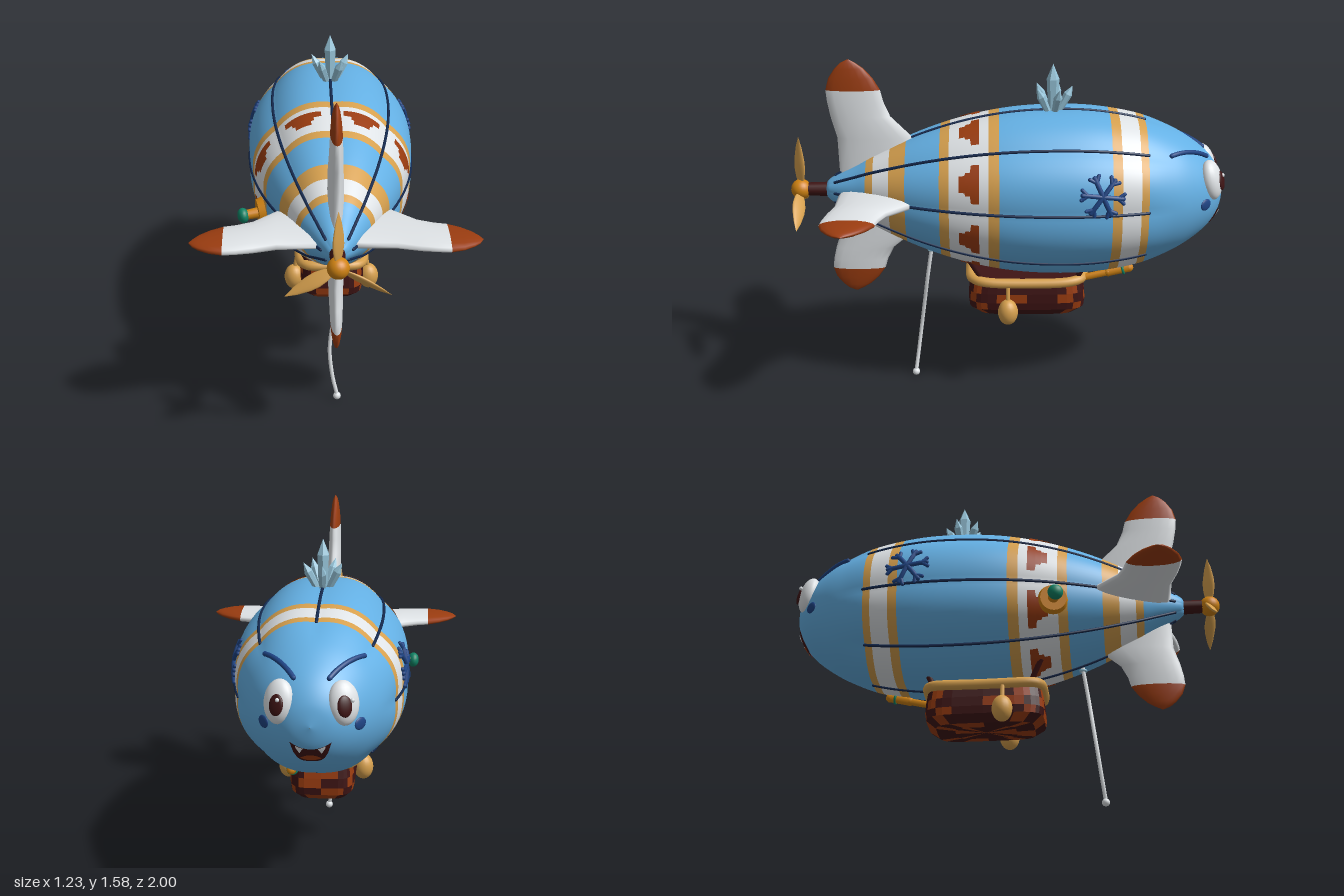
import * as THREE from 'three';
import { mergeGeometries } from 'three/addons/utils/BufferGeometryUtils.js';

const V = (x, y, z) => new THREE.Vector3(x, y, z);
const material = (name, color, side = THREE.FrontSide) =>
  Object.assign(new THREE.MeshStandardMaterial({ color, side }), { name });
const CY = 0.96; // height of the hull axis

// Hull profile: [z, radius] from tail to nose
const profile = new THREE.SplineCurve([
  [0.845, 0.001], [0.83, 0.035], [0.8, 0.06], [0.7, 0.118], [0.6, 0.175], [0.4, 0.265], [0.2, 0.33],
  [0, 0.37], [-0.2, 0.385], [-0.4, 0.379], [-0.6, 0.345], [-0.75, 0.292], [-0.85, 0.235],
  [-0.93, 0.168], [-0.98, 0.09], [-1, 0.001],
].map(([z, r]) => new THREE.Vector2(z, r))).getPoints(120);

function radius(z) {
  for (let i = 1; i < profile.length; i++) {
    const a = profile[i - 1], b = profile[i];
    if (z <= a.x && z >= b.x) return a.y + (b.y - a.y) * (a.x - z) / (a.x - b.x || 1);
  }
  return 0.001;
}
function noseZ(r) {
  for (let i = profile.length - 1; i > 0; i--) {
    const a = profile[i], b = profile[i - 1];
    if (r >= a.y && r <= b.y) return a.x + (b.x - a.x) * (r - a.y) / (b.y - a.y || 1);
  }
  return -1;
}
// Point on the eight-lobed hull; the lobes fade out toward the face
function hullPoint(a, z, off = 0) {
  const fade = THREE.MathUtils.smoothstep(z, -0.82, -0.6);
  const r = radius(z) * (1 + fade * (-0.015 + 0.035 * Math.abs(Math.sin(4 * a)))) + off;
  return V(r * Math.cos(a), CY + r * Math.sin(a), z);
}

// Skin over rows of points; pick(row, column) chooses the material index of a cell
function loft(rows, closed = true, pick = () => 0) {
  const n = rows[0].length, lists = [];
  for (let i = 0; i < rows.length - 1; i++)
    for (let j = 0; j < (closed ? n : n - 1); j++) {
      const k = (j + 1) % n, a = i * n + j, b = a + n, c = i * n + k, d = c + n;
      (lists[pick(i, j)] ??= []).push(a, b, c, b, d, c);
    }
  const g = new THREE.BufferGeometry().setFromPoints(rows.flat());
  g.setIndex(lists.flat());
  let start = 0;
  lists.forEach((l, m) => { g.addGroup(start, l.length, m); start += l.length; });
  g.computeVertexNormals();
  return g;
}

// Round cord through points, with rounded ends
function cord(points, r, segments = 24) {
  const ends = [points[0], points.at(-1)].map(p => new THREE.SphereGeometry(r, 8, 6).translate(p.x, p.y, p.z));
  return mergeGeometries([new THREE.TubeGeometry(new THREE.CatmullRomCurve3(points), segments, r, 8), ...ends]);
}
const range = (n, f) => Array.from({ length: n }, (_, i) => f(i));

export function createModel() {
  const blue = material('sky blue', 0x64b0e4), white = material('off white', 0xdfe3e6, THREE.DoubleSide);
  const tan = material('tan', 0xd6a04e), rust = material('rust', 0x9a3c10, THREE.DoubleSide);
  const brown = material('dark brown', 0x3e1414, THREE.DoubleSide), orange = material('orange', 0xd08312);
  const teal = material('teal', 0x0f8264), navy = material('navy', 0x14294e);
  const royal = material('royal blue', 0x1f4484), ice = material('ice', 0x97c5da);
  const root = new THREE.Group();
  root.name = 'airship';
  const add = (name, geo, mat, pos, parent = root) => {
    const m = new THREE.Mesh(geo, mat);
    m.name = name;
    if (pos) m.position.copy(pos);
    parent.add(m);
    return m;
  };

  // Hull with painted bands: [start z, end z, material index]
  const bands = [[0.645, 0.61, 1], [0.61, 0.535, 2], [0.535, 0.46, 1], [0.303, 0.26, 1], [0.26, 0.083, 2],
    [0.083, 0.035, 1], [-0.467, -0.51, 1], [-0.51, -0.595, 2], [-0.595, -0.63, 1]];
  const zs = [...new Set([...profile.map(p => p.x), ...bands.flatMap(b => [b[0], b[1]])])].sort((a, b) => b - a);
  add('hull', loft(zs.map(z => range(96, j => hullPoint(j / 96 * Math.PI * 2, z))), true, i => {
    const m = (zs[i] + zs[i + 1]) / 2;
    return bands.find(b => m < b[0] && m > b[1])?.[2] ?? 0;
  }), [blue, tan, white]);

  // Seams and the stepped patches between them
  const steps = [[0.215, 0.11], [0.19, 0.11], [0.185, 0.15], [0.165, 0.15], [0.16, 0.25], [0.125, 0.25]];
  for (let k = 0; k < 8; k++) {
    const a = k * Math.PI / 4;
    add('seam', cord(range(30, i => hullPoint(a, 0.79 - i / 29 * 1.42, 0.002)), 0.007, 60), navy);
    add('bandPatch', loft(steps.map(([z, w]) =>
      range(13, j => hullPoint(a + Math.PI / 8 + w * (j / 6 - 1), z, 0.005))), false), rust);
  }

  // Tail fins: [distance from axis, leading z, trailing z, half thickness]
  const sections = [[0.08, 0.36, 0.77, 0.036], [0.25, 0.43, 0.775, 0.034], [0.35, 0.53, 0.802, 0.031],
    [0.42, 0.56, 0.815, 0.028], [0.475, 0.573, 0.82, 0.026], [0.53, 0.605, 0.805, 0.022],
    [0.575, 0.645, 0.775, 0.016], [0.6, 0.68, 0.75, 0.01], [0.617, 0.71, 0.716, 0.001]];
  const finGeo = loft(sections.map(([s, l, t, w]) => range(16, j => {
    const a = j / 8 * Math.PI;
    return V(w * Math.cos(a), s, (l + t) / 2 + (t - l) / 2 * Math.sin(a));
  })), true, i => (i < 4 ? 0 : 1));
  for (let k = 0; k < 4; k++) {
    const fin = add('tailFin', finGeo, [white, rust], V(0, CY, 0));
    fin.rotation.z = k * Math.PI / 2;
    if (k === 2) fin.scale.y = 0.83;
  }

  // Propeller
  add('propellerShaft', new THREE.CylinderGeometry(0.03, 0.034, 0.13, 16).rotateX(Math.PI / 2), brown, V(0, CY, 0.87));
  add('propellerHub', new THREE.SphereGeometry(0.047, 24, 16), orange, V(0, CY, 0.953));
  const leaf = [[0.012, 0.02], [0.028, 0.06], [0.035, 0.1], [0.033, 0.14], [0.02, 0.2], [0.001, 0.252]];
  const blade = new THREE.LatheGeometry(leaf.map(p => new THREE.Vector2(...p)), 16).scale(1, 1, 0.3).rotateY(0.85);
  for (let k = 0; k < 3; k++)
    add('propellerBlade', blade, tan, V(0, CY, 0.955)).rotation.z = k * Math.PI * 2 / 3;

  // Eyes, brows, cheeks and side snowflakes, mirrored
  for (const s of [1, -1]) {
    const side = a => (s > 0 ? a : Math.PI - a);
    const eye = new THREE.Group();
    eye.name = 'eye';
    eye.position.set(s * 0.13, 1.045, -0.93);
    eye.lookAt(eye.position.clone().add(V(s * 0.42, 0.22, -0.88)));
    root.add(eye);
    add('eyeball', new THREE.SphereGeometry(1, 24, 16).scale(0.066, 0.093, 0.046), white, null, eye);
    add('pupil', new THREE.SphereGeometry(1, 20, 12).scale(0.032, 0.045, 0.012), brown, V(s * 0.012, -0.01, 0.041), eye);
    add('eyeGlint', new THREE.SphereGeometry(0.009, 10, 8), white, V(0.02, 0.012, 0.05), eye);

    add('brow', cord(range(7, i => {
      const t = i / 6;
      return hullPoint(side(0.83 + 0.36 * t), -0.735 - 0.175 * t, 0.006);
    }), 0.011), royal);

    const cheek = add('cheek', new THREE.SphereGeometry(1, 20, 12).scale(0.032, 0.027, 0.008), royal, hullPoint(side(-0.06), -0.9));
    cheek.lookAt(cheek.position.clone().add(V(s * 0.75, 0, -0.66)));

    const at = (u, v) => hullPoint(side(0.237 + v / 0.385), -0.42 + u, 0.004);
    for (let k = 0; k < 6; k++) {
      const a = k * Math.PI / 3 + 0.1;
      const arm = d => [d * Math.cos(a), d * Math.sin(a)];
      add('snowflakeArm', cord([0, 0.05, 0.09].map(d => at(...arm(d))), 0.011, 8), royal);
      for (const f of [0.7, -0.7]) {
        const [u, v] = arm(0.068);
        add('snowflakeFork', cord([at(u, v), at(u + 0.034 * Math.cos(a + f), v + 0.034 * Math.sin(a + f))], 0.009, 4), royal);
      }
    }
  }

  // Mouth: patches wrapped on the nose between a top and a bottom curve
  const facePatch = (name, mat, x0, w, top, bottom, off) => add(name, loft(range(7, i => range(13, j => {
    const t = 1 - j / 6, x = x0 + w * t, y = top(t) + (bottom(t) - top(t)) * i / 6;
    return V(x, y, noseZ(Math.hypot(x, y - CY)) - off);
  })), false), mat);
  const lip = t => 0.862 + 0.03 * t * t;
  facePatch('mouth', brown, 0, 0.085, lip, t => 0.795 + 0.097 * t ** 4, 0.006);
  facePatch('tongue', rust, 0, 0.045, t => 0.832 - 0.018 * t * t, t => 0.803 + 0.012 * t * t, 0.01);
  for (const s of [1, -1])
    facePatch('tooth', white, s * 0.045, 0.016, t => lip((s * 0.045 + 0.016 * t) / 0.085), t => 0.84 + 0.028 * Math.abs(t), 0.01);

  // Ice crystals on the top
  const crystal = (h, r) => mergeGeometries([
    new THREE.CylinderGeometry(r, r * 0.7, h * 0.7, 6).translate(0, h * 0.35, 0),
    new THREE.ConeGeometry(r, h * 0.3, 6).translate(0, h * 0.85, 0)]).toNonIndexed();
  const addCrystal = (h, r, pos, dir) => {
    const g = crystal(h, r);
    g.computeVertexNormals();
    add('crystal', g, ice, pos).quaternion.setFromUnitVectors(V(0, 1, 0), dir.normalize());
  };
  addCrystal(0.235, 0.029, V(0, 1.32, -0.21), V(0, 1, 0));
  for (let k = 0; k < 5; k++) {
    const a = k * Math.PI * 0.4, x = Math.sin(a), z = -Math.cos(a);
    addCrystal(0.15, 0.02, V(x * 0.02, 1.32, -0.21 + z * 0.02), V(x * 0.52, 1, z * 0.52));
  }

  // Woven basket with rail: rounded rectangle rings
  const BZ = -0.095;
  const ring = (w, d, y, n) => range(n, j => {
    const a = j / n * Math.PI * 2, c = Math.cos(a), s = Math.sin(a);
    return V(w * Math.sign(c) * Math.abs(c) ** 0.4, y, BZ - d * Math.sign(s) * Math.abs(s) ** 0.4);
  });
  const shape = [[0.001, 0.001, 0.53], [0.145, 0.265, 0.53], [0.15, 0.272, 0.485], [0.15, 0.275, 0.44],
    [0.145, 0.27, 0.405], [0.115, 0.225, 0.37], [0.07, 0.14, 0.366], [0.001, 0.001, 0.366]];
  const weave = loft(shape.map(([w, d, y]) => ring(w, d, y, 32)), true,
    (i, j) => (i > 0 && (j + 2 * i + (i % 2)) % 5 < 2 ? 1 : 0)).toNonIndexed();
  weave.computeVertexNormals();
  add('basket', weave, [brown, rust]);
  const rail = ring(0.153, 0.265, 0.545, 32).map(p => p.setY(0.543 + 0.012 * Math.abs((p.z - BZ) / 0.265) ** 3));
  add('basketRail', new THREE.TubeGeometry(new THREE.CatmullRomCurve3(rail, true), 96, 0.023, 10, true), tan);
  for (const s of [1, -1]) {
    for (const [z, dz] of [[0.11, 0.06], [-0.32, -0.05]])
      add('basketStrut', cord([V(s * 0.11, 0.54, z), V(s * 0.15, 0.655, z + dz)], 0.013, 2), brown);
    add('sandbag', new THREE.SphereGeometry(1, 20, 14).scale(0.047, 0.062, 0.047), tan, V(s * 0.178, 0.41, -0.005));
    add('sandbagTie', cord([V(s * 0.175, 0.46, -0.005), V(s * 0.16, 0.54, -0.005)], 0.01, 2), tan);
  }

  // Spyglass pointing toward the face end
  const from = V(0.1, 0.545, -0.33), to = V(0.115, 0.607, -0.57);
  add('spyglass', cord([from, from.clone().lerp(to, 0.7)], 0.017, 2), orange);
  add('spyglassTip', cord([from.clone().lerp(to, 0.6), to], 0.021, 2), orange);
  const collar = add('spyglassRing', new THREE.TorusGeometry(0.021, 0.006, 8, 20), teal, from.clone().lerp(to, 0.88));
  collar.lookAt(to);

  // Valve on one flank
  const valve = new THREE.Group();
  valve.name = 'valve';
  valve.position.set(-0.3, 0.875, 0.235);
  valve.quaternion.setFromUnitVectors(V(0, 1, 0), V(-0.97, -0.1, 0.2).normalize());
  root.add(valve);
  add('valvePlate', new THREE.CylinderGeometry(0.06, 0.07, 0.03, 24), orange, V(0, 0.025, 0), valve);
  add('valveStem', new THREE.CylinderGeometry(0.022, 0.026, 0.07, 16), orange, V(0, 0.06, 0), valve);
  add('valveKnob', new THREE.SphereGeometry(1, 20, 14).scale(0.035, 0.026, 0.035), teal, V(0, 0.107, 0), valve);

  // Mooring rope
  add('rope', cord([V(0.02, 0.69, 0.35), V(0.02, 0.52, 0.375), V(-0.005, 0.38, 0.393), V(-0.02, 0.25, 0.41),
    V(-0.008, 0.12, 0.427), V(0.013, 0.025, 0.44)], 0.009, 40), white);
  add('ropeKnot', new THREE.SphereGeometry(0.018, 14, 10), white, V(0.013, 0.018, 0.44));
  add('ropeRing', new THREE.TorusGeometry(0.013, 0.006, 8, 16), ice, V(0.02, 0.663, 0.354)).rotation.x = Math.PI / 2;
  return root;
}
